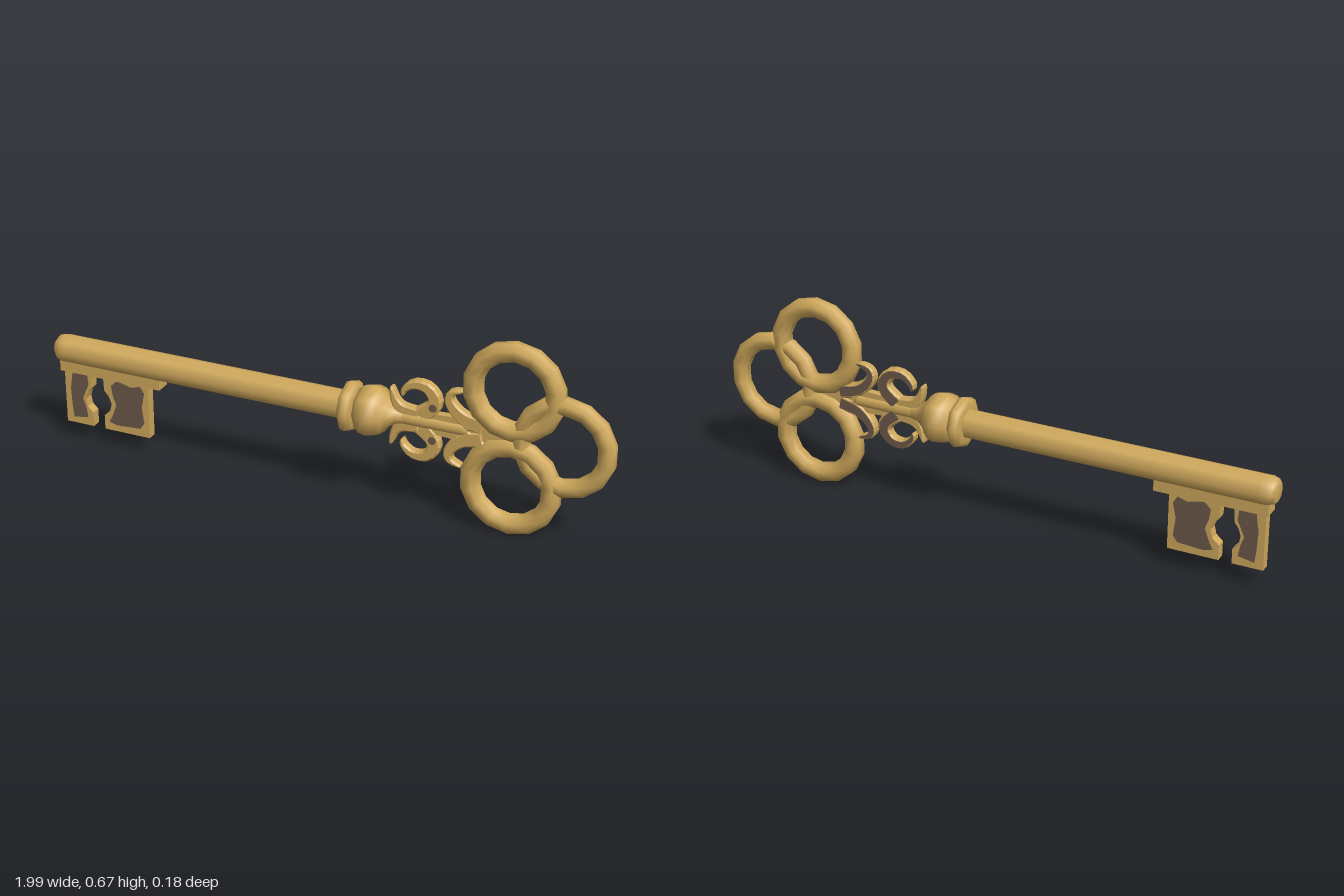
import * as THREE from 'three';

const AXIS = 0.342; // height of the shaft's centre line

export function createModel() {
  const key = new THREE.Group();
  const gold = new THREE.MeshStandardMaterial({ color: 0xd0a95c });
  const brown = new THREE.MeshStandardMaterial({ color: 0x6e5a4a });

  function add(name, geometry, material = gold, x = 0, y = 0, z = 0) {
    const mesh = new THREE.Mesh(geometry, material);
    mesh.name = name;
    mesh.position.set(x, y, z);
    key.add(mesh);
    return mesh;
  }

  const vec = ([x, y]) => new THREE.Vector2(x, y);

  // Eight-sided turned part along x, profile given as [x, radius]
  function turned(name, profile) {
    const points = profile.map(([x, r]) => new THREE.Vector2(r, x));
    add(name, new THREE.LatheGeometry(points, 8).rotateZ(-Math.PI / 2), gold, 0, AXIS);
  }

  // Flat part centred on z
  function flat(name, points, depth, material = gold, z = 0, bevel = 0) {
    const geometry = new THREE.ExtrudeGeometry(new THREE.Shape(points), {
      depth: depth - 2 * bevel, bevelEnabled: bevel > 0, bevelThickness: bevel,
      bevelSize: bevel, bevelOffset: -bevel, bevelSegments: 1,
    });
    return add(name, geometry.translate(0, 0, bevel - depth / 2), material, 0, 0, z);
  }

  // Shaft with a rounded end
  turned('shaft', [[-1, 0], [-1, 0.032], [-0.99, 0.044], [-0.972, 0.05], [-0.95, 0.05], [0.1, 0.05]]);

  // Collar ring, ball and neck
  turned('collar', [[0.076, 0.045], [0.077, 0.07], [0.084, 0.084], [0.1, 0.09], [0.114, 0.084],
    [0.123, 0.07], [0.125, 0.045]]);
  turned('ball', [[0.122, 0.05], [0.13, 0.068], [0.15, 0.085], [0.177, 0.09], [0.2, 0.084],
    [0.22, 0.068], [0.235, 0.048], [0.262, 0.03], [0.29, 0.024]]);
  turned('stem', [[0.25, 0.025], [0.49, 0.023], [0.508, 0.018], [0.516, 0]]);

  // Three bow rings with an octagonal tube
  function bowRing(name, x, y, outer, tube) {
    const profile = [];
    for (let i = 0; i <= 8; i++) {
      const a = -Math.PI + (i + 0.5) * Math.PI / 4;
      profile.push(new THREE.Vector2(outer - tube + tube * Math.cos(a), tube * Math.sin(a)));
    }
    add(name, new THREE.LatheGeometry(profile, 14).rotateX(Math.PI / 2), gold, x, y);
  }
  bowRing('upperRing', 0.655, 0.505, 0.173, 0.034);
  bowRing('lowerRing', 0.655, 0.173, 0.173, 0.034);
  bowRing('endRing', 0.825, 0.347, 0.175, 0.031);

  // Outline of a curl that follows a path and tapers to its tip
  function curlOutline(path, width, scale) {
    const curve = new THREE.SplineCurve(path.map(vec));
    const left = [], right = [];
    for (let i = 0; i <= 14; i++) {
      const t = i / 14;
      const p = curve.getPoint(t), d = curve.getTangent(t);
      const w = scale * (width * (1 - t) ** 0.7 / 2 + 0.003);
      left.push(new THREE.Vector2(p.x - d.y * w, p.y + d.x * w));
      right.unshift(new THREE.Vector2(p.x + d.y * w, p.y - d.x * w));
    }
    return [...left, ...right];
  }

  // Scrollwork, offsets measured from the centre line and mirrored
  const curls = [
    ['collarLeaf', 0.05, [[0.34, 0.015], [0.285, 0.028], [0.258, 0.055], [0.243, 0.103]]],
    ['largeScroll', 0.052, [[0.345, 0.02], [0.385, 0.055], [0.392, 0.09], [0.365, 0.122], [0.32, 0.125],
      [0.288, 0.1], [0.283, 0.078]]],
    ['bowScroll', 0.05, [[0.56, 0.022], [0.5, 0.035], [0.462, 0.062], [0.442, 0.095], [0.452, 0.122], [0.49, 0.134]]],
    ['bowLeaf', 0.035, [[0.49, 0.012], [0.54, 0.03], [0.575, 0.05], [0.61, 0.052]]],
  ];
  for (const side of [1, -1]) {
    for (const [name, width, path] of curls) {
      const world = path.map(([x, y]) => [x, AXIS + side * y]);
      flat(name, curlOutline(world, width, 1), 0.034, gold, 0, 0.006);
      if (name === 'largeScroll' || name === 'bowScroll') {
        flat(name + 'Patina', curlOutline(world, width, 0.65), 0.004, brown, -0.0175);
      }
    }
    // Dark spot at the root of the large scroll
    add('scrollSpot', new THREE.CylinderGeometry(0.014, 0.014, 0.004, 8).rotateX(Math.PI / 2),
      brown, 0.39, AXIS + side * 0.058, 0.0175);
  }

  // Web joining the scrolls, and the bar between the rings
  flat('scrollWeb', [[0.28, -0.03], [0.47, -0.04], [0.47, 0.04], [0.28, 0.03]]
    .map(([x, y]) => new THREE.Vector2(x, AXIS + y)), 0.026);
  flat('bowBridge', [[0.46, -0.03], [0.6, -0.028], [0.68, 0], [0.6, 0.028], [0.46, 0.03]]
    .map(([x, y]) => new THREE.Vector2(x, AXIS + y)), 0.024);

  // Rail under the shaft
  add('bitRail', new THREE.BoxGeometry(0.385, 0.05, 0.056), gold, -0.7875, 0.29);

  // Two teeth with waved facing edges
  const outerTooth = [[-0.97, 0.068], [-0.865, 0.068], [-0.865, 0.12], [-0.885, 0.14], [-0.89, 0.17],
    [-0.882, 0.195], [-0.867, 0.215], [-0.863, 0.28], [-0.97, 0.28]].map(vec);
  const innerTooth = [[-0.82, 0.068], [-0.645, 0.068], [-0.645, 0.28], [-0.82, 0.28], [-0.817, 0.215],
    [-0.8, 0.195], [-0.79, 0.17], [-0.797, 0.14], [-0.82, 0.12]].map(vec);
  flat('outerTooth', outerTooth, 0.034);
  flat('innerTooth', innerTooth, 0.034);

  // Uneven dark patches on both faces of the teeth
  const outerPatch = [[-0.94, 0.09], [-0.885, 0.1], [-0.892, 0.14], [-0.903, 0.17], [-0.89, 0.2],
    [-0.878, 0.225], [-0.882, 0.262], [-0.938, 0.262], [-0.948, 0.2], [-0.945, 0.13]].map(vec);
  const innerPatch = [[-0.8, 0.1], [-0.77, 0.092], [-0.68, 0.098], [-0.664, 0.12], [-0.672, 0.18],
    [-0.66, 0.235], [-0.675, 0.258], [-0.71, 0.248], [-0.765, 0.262], [-0.788, 0.24], [-0.782, 0.2],
    [-0.77, 0.17], [-0.785, 0.13]].map(vec);
  for (const z of [0.0175, -0.0175]) {
    flat('outerToothPatina', outerPatch, 0.004, brown, z);
    flat('innerToothPatina', innerPatch, 0.004, brown, z);
  }

  return key;
}
